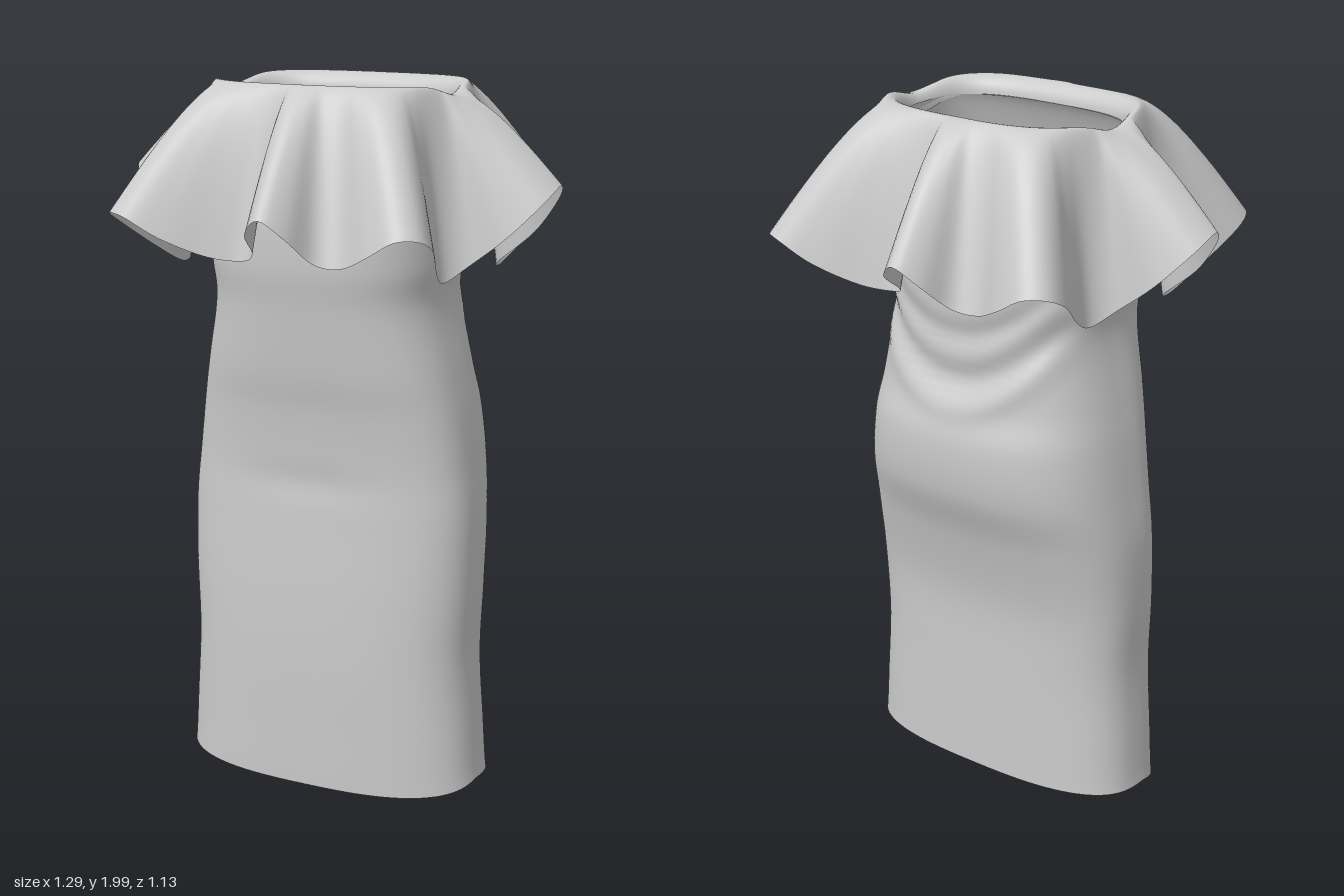
import * as THREE from 'three';

const material = new THREE.MeshStandardMaterial({ color: 0xcccccc, side: THREE.DoubleSide });

// Smooth tube of cloth: rows run upwards, columns go round from +x towards +z
function clothTube(name, rows, cols, pointAt) {
  const pos = [], index = [];
  for (let i = 0; i <= rows; i++)
    for (let j = 0; j < cols; j++) pos.push(...pointAt(i / rows, j / cols).toArray());
  for (let i = 0; i < rows; i++)
    for (let j = 0; j < cols; j++) {
      const k = (j + 1) % cols;
      const a = i * cols + j, b = i * cols + k, c = a + cols, d = b + cols;
      index.push(a, c, b, b, c, d);
    }
  const geo = new THREE.BufferGeometry();
  geo.setAttribute('position', new THREE.Float32BufferAttribute(pos, 3));
  geo.setIndex(index);
  geo.computeVertexNormals();
  const mesh = new THREE.Mesh(geo, material);
  mesh.name = name;
  return mesh;
}

const spow = (v, e) => Math.sign(v) * Math.abs(v) ** e;
const bump = (v, w) => Math.exp(-((v / w) ** 2));

// Body sections: height, half width, front z, back z
const SECTIONS = [
  [0.05, 0.455, 0.225, -0.185], [0.2, 0.443, 0.23, -0.185], [0.4, 0.43, 0.235, -0.186],
  [0.6, 0.437, 0.232, -0.195], [0.8, 0.435, 0.225, -0.24], [0.95, 0.418, 0.225, -0.292],
  [1.1, 0.396, 0.24, -0.302], [1.22, 0.372, 0.262, -0.275], [1.4, 0.335, 0.285, -0.265],
  [1.52, 0.342, 0.302, -0.265], [1.68, 0.338, 0.3, -0.26], [1.82, 0.32, 0.26, -0.235],
  [1.95, 0.31, 0.2, -0.19],
];

function makeBody() {
  const heights = new THREE.SplineCurve(SECTIONS.map((s, i) => new THREE.Vector2(i, s[0])));
  const sizes = new THREE.CatmullRomCurve3(
    SECTIONS.map((s) => new THREE.Vector3(s[1], s[2], s[3])), false, 'catmullrom');
  return clothTube('dressBody', 90, 120, (v, u) => {
    const a = u * Math.PI * 2, c = Math.cos(a), s = Math.sin(a);
    let y = heights.getPoint(v).y;
    const size = sizes.getPoint(v), mid = 0.02;
    const e = 2 / 2.7;
    const x = size.x * spow(c, e);
    let z = mid + spow(s, e) * (s > 0 ? size.y - mid : mid - size.z);
    // Hem hangs lower at the front, rising towards the side seams
    const hem = z > 0.03 ? 0.055 - 0.22 * z : 0.045;
    y += (hem - 0.05) * Math.max(0, 1 - v * 4);
    // Draped folds across the lower back
    if (s < 0) {
      const sag = 1.2 + 1.9 * x * x;
      z += -s * (0.022 * bump(y - sag - 0.08, 0.045) - 0.01 * bump(y - sag, 0.04));
      z += -s * 0.014 * bump(y - sag - 0.2, 0.04);
    }
    // Shallow crease under the belly
    if (s > 0) z -= 0.006 * s * bump(y - 0.9, 0.05) * bump(x, 0.2);
    return new THREE.Vector3(x, y, z);
  });
}

// Half of the wavy ruffle edge; the other half is the same turned by 180 degrees
const HALF_EDGE = [
  [0.645, 1.74, -0.03], [0.63, 1.7, 0.05], [0.55, 1.61, 0.105], [0.45, 1.53, 0.125],
  [0.405, 1.49, 0.185], [0.425, 1.53, 0.27], [0.46, 1.6, 0.36], [0.455, 1.635, 0.43],
  [0.4, 1.635, 0.47], [0.32, 1.59, 0.463], [0.23, 1.55, 0.432], [0.16, 1.56, 0.455],
  [0.12, 1.63, 0.53], [0.06, 1.68, 0.565], [0, 1.635, 0.53], [-0.035, 1.57, 0.43],
  [-0.09, 1.54, 0.387], [-0.18, 1.55, 0.425], [-0.29, 1.6, 0.488], [-0.38, 1.655, 0.52],
  [-0.445, 1.66, 0.49], [-0.465, 1.63, 0.42], [-0.43, 1.55, 0.3], [-0.403, 1.49, 0.19],
  [-0.43, 1.51, 0.115], [-0.54, 1.6, 0.105], [-0.625, 1.7, 0.065],
];

// Rounded oblong around the neckline, in a given direction
function oblong(angle, rx, rz, n = 3) {
  const c = Math.cos(angle), s = Math.sin(angle);
  const r = (Math.abs(c / rx) ** n + Math.abs(s / rz) ** n) ** (-1 / n);
  return new THREE.Vector3(c * r, 0, s * r);
}

function makeRuffle() {
  const edge = new THREE.CatmullRomCurve3(
    [1, -1].flatMap((k) => HALF_EDGE.map(([x, y, z]) => new THREE.Vector3(k * x, y, k * z))),
    true, 'catmullrom');
  return clothTube('shoulderRuffle', 40, 270, (v, u) => {
    const hem = edge.getPoint(u);
    const angle = Math.atan2(hem.z, hem.x);
    const inner = oblong(angle, 0.31, 0.2);
    const crest = oblong(angle, 0.335, 0.25);
    crest.y = 2 - 0.03 * bump(crest.z, 0.09);
    inner.y = crest.y - 0.05;
    const split = 0.8;
    if (v > split) {
      // Rolled neckline, from the crest down to the inner edge
      const t = ((v - split) / (1 - split)) * Math.PI / 2;
      return new THREE.Vector3(
        inner.x + (crest.x - inner.x) * (1 - Math.sin(t)),
        inner.y + (crest.y - inner.y) * Math.cos(t),
        inner.z + (crest.z - inner.z) * (1 - Math.sin(t)));
    }
    // Hanging cloth, leaving the crest level and falling to the wavy edge
    const out = hem.clone().sub(crest).setY(0);
    const p1 = crest.clone().addScaledVector(out, 0.28);
    const p2 = crest.clone().addScaledVector(out, 0.66);
    p2.y = crest.y + (hem.y - crest.y) * 0.52;
    return new THREE.CubicBezierCurve3(hem, p2, p1, crest).getPoint(v / split);
  });
}

export function createModel() {
  const dress = new THREE.Group();
  dress.name = 'dress';
  dress.add(makeBody(), makeRuffle());
  return dress;
}
